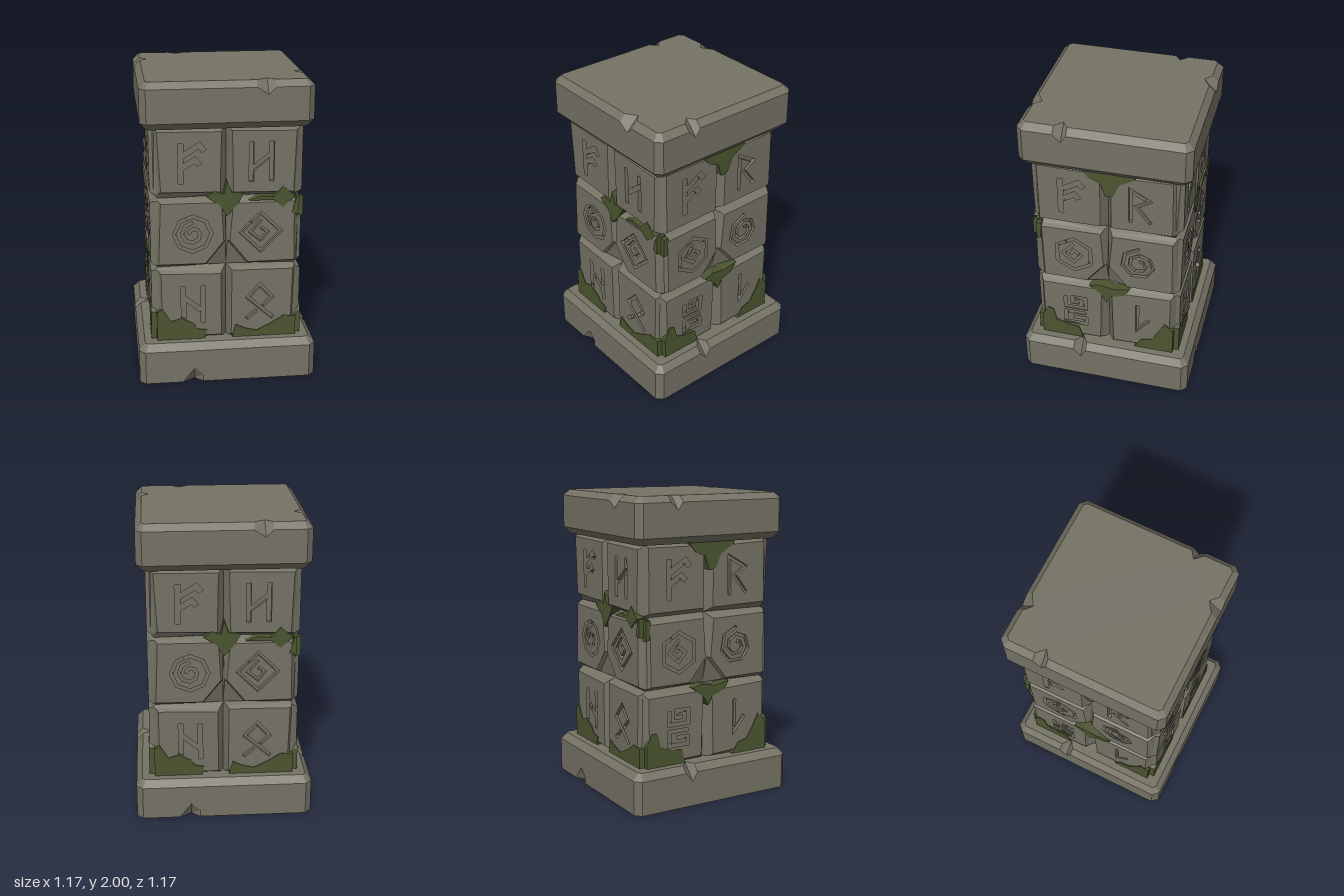
import * as THREE from 'three';
import { ConvexGeometry } from 'three/addons/geometries/ConvexGeometry.js';

const V2 = (x, y) => new THREE.Vector2(x, y);
const toV2 = (list) => list.map(([x, y]) => V2(x, y));

// Outline of a chiselled stroke following an open line, with mitred corners
function stroke(list, w = 0.024) {
  const p = list.map((q) => (q.isVector2 ? q : V2(...q)));
  const left = [], right = [];
  p.forEach((q, i) => {
    const a = p[Math.max(i - 1, 0)], b = p[Math.min(i + 1, p.length - 1)];
    const d1 = i ? q.clone().sub(a).normalize() : b.clone().sub(q).normalize();
    const d2 = i < p.length - 1 ? b.clone().sub(q).normalize() : d1;
    const n = V2(-d1.y - d2.y, d1.x + d2.x).normalize();
    const k = (w / 2) / Math.max(0.4, n.dot(V2(-d1.y, d1.x)));
    left.push(q.clone().addScaledVector(n, k));
    right.unshift(q.clone().addScaledVector(n, -k));
  });
  return [...left, ...right];
}

const polar = (r, a) => V2(r * Math.cos(a), r * Math.sin(a));

// Many-sided ring, left open by a hair in the middle of one edge
function ring(n, r) {
  const v = Array.from({ length: n }, (_, i) => polar(r, Math.PI / 2 + (i / n) * 2 * Math.PI));
  return stroke([v[0].clone().lerp(v[1], 0.5), ...v.slice(1), v[0], v[0].clone().lerp(v[1], 0.47)], 0.02);
}

function spiral(n, r, step, turns) {
  const count = Math.round(n * turns);
  return stroke(Array.from({ length: count + 1 }, (_, i) =>
    polar(r - (step * i) / n, Math.PI / 2 + (i / n) * 2 * Math.PI)), 0.02);
}

// Two posts joined by a slanted bar
const posts = (a) => toV2([[-0.08, 0.13], [-0.05, 0.13], [-0.05, 0.02 - a], [0.05, a + 0.02], [0.05, 0.13],
  [0.08, 0.13], [0.08, -0.13], [0.05, -0.13], [0.05, a - 0.02], [-0.05, -a - 0.02], [-0.05, -0.13], [-0.08, -0.13]]);
const branches = toV2([[-0.09, 0.13], [-0.055, 0.13], [-0.055, 0.075], [0.05, 0.14], [0.09, 0.09], [0.06, 0.07],
  [0.042, 0.095], [-0.055, 0.035], [-0.055, 0], [0.02, 0.045], [0.06, 0], [0.03, -0.02], [0.015, 0],
  [-0.055, -0.04], [-0.055, -0.13], [-0.09, -0.13]]);

// Carvings by face type, then row from the bottom, then left and right block
const carvings = [
  [
    [[posts(-0.04)], [stroke([[0.09, -0.12], [-0.08, 0.03], [0, 0.12], [0.08, 0.03], [0.02, -0.03]]),
      stroke([[-0.02, -0.06], [-0.09, -0.12]])]],
    [[ring(8, 0.12), spiral(8, 0.08, 0.045, 1.25)], [ring(4, 0.13), spiral(4, 0.08, 0.05, 1)]],
    [[branches], [posts(0.04)]],
  ],
  [
    [[stroke([[-0.07, 0.11], [-0.07, 0.02], [0.07, 0.02], [0.07, 0.11], [-0.02, 0.11], [-0.02, 0.065], [0.025, 0.065]]),
      stroke([[0.07, -0.025], [-0.07, -0.025], [-0.07, -0.12], [0.07, -0.12], [0.07, -0.07], [-0.02, -0.07]])],
    [stroke([[-0.01, 0.13], [-0.01, -0.09], [0.07, 0.01]])]],
    [[ring(6, 0.13), spiral(4, 0.085, 0.05, 1.25)], [spiral(7, 0.13, 0.05, 2)]],
    [[branches], [stroke([[-0.06, -0.13], [-0.06, 0.12], [0.06, 0.05], [-0.02, 0], [0.07, -0.12]])]],
  ],
];

// Moss clumps by face type
const mossShapes = [
  [
    [[-0.46, 0.25], [-0.46, 0.47], [-0.42, 0.49], [-0.37, 0.4], [-0.3, 0.42], [-0.22, 0.38], [-0.19, 0.34], [-0.13, 0.33], [-0.15, 0.25]],
    [[0.03, 0.25], [0.06, 0.36], [0.12, 0.33], [0.2, 0.31], [0.3, 0.36], [0.38, 0.41], [0.46, 0.4], [0.46, 0.25]],
    [[-0.13, 1.25], [-0.08, 1.29], [-0.02, 1.27], [0, 1.36], [0.03, 1.28], [0.11, 1.27], [0.06, 1.19], [0, 1.12], [-0.05, 1.2]],
    [[0.14, 1.22], [0.22, 1.25], [0.3, 1.24], [0.36, 1.31], [0.44, 1.24], [0.36, 1.17], [0.3, 1.22]],
    [[0.42, 1.13], [0.45, 1.24], [0.465, 1.24], [0.465, 1.12]],
  ],
  [
    [[-0.46, 0.25], [-0.46, 0.42], [-0.42, 0.5], [-0.38, 0.49], [-0.36, 0.4], [-0.28, 0.37], [-0.2, 0.36], [-0.17, 0.25]],
    [[0.18, 0.25], [0.24, 0.34], [0.31, 0.36], [0.36, 0.44], [0.4, 0.52], [0.46, 0.46], [0.46, 0.25]],
    [[-0.17, 1.72], [-0.1, 1.64], [-0.03, 1.61], [0, 1.52], [0.05, 1.53], [0.09, 1.62], [0.19, 1.68], [0.18, 1.72]],
    [[-0.12, 0.76], [-0.05, 0.78], [0.05, 0.76], [0.16, 0.78], [0.12, 0.72], [0.03, 0.69], [0, 0.63], [-0.04, 0.7]],
    [[-0.465, 1.1], [-0.465, 1.23], [-0.43, 1.23], [-0.44, 1.11]],
  ],
];

const rowY = [0.26, 0.77, 1.24, 1.71];
const BACK = 0.465, DEPTH = 0.025;

// Repeatable pseudo-random number for chipping
const chip = (...k) => {
  const s = Math.sin(k.reduce((t, v, i) => t + v * (12.9 + 31.7 * i), 4.1)) * 43758.5;
  return s - Math.floor(s);
};

// Face outline of one block, relative to the block face centre
function faceOutline(type, row, side) {
  const h = (rowY[row + 1] - rowY[row]) / 2;
  const pts = [[-0.19, -h + 0.03], [0.222, -h + 0.03], [0.222, h - 0.025], [-0.19, h - 0.025]].map(([u, v], i) =>
    [u * (1 - 0.1 * chip(type, row, side, i)), v * (1 - 0.1 * chip(i, side, row, type))]);
  if (row === 1) pts.splice(0, 1, [-0.2, -h + 0.18], [-0.08, -h + 0.03]);
  return pts.map(([u, v]) => V2(u * side, v));
}

// Carved front slab whose outer rim slopes out towards the back
function carvedFace(outline, holes) {
  const shape = new THREE.Shape(outline);
  shape.holes = holes.map((h) => new THREE.Path(h));
  const g = new THREE.ExtrudeGeometry(shape, { depth: DEPTH, bevelEnabled: false });
  const p = g.attributes.position;
  for (let i = 0; i < p.count; i++) {
    const x = p.getX(i), y = p.getY(i);
    if (p.getZ(i) < 0.001 && Math.max(Math.abs(x), Math.abs(y)) > 0.15) p.setXY(i, x * 1.07, y * 1.07);
  }
  g.computeVertexNormals();
  return g;
}

// Square slab from rings [y, inset]; each side has one chip {u, w, d, low}
function slabGeometry(half, rings, chips) {
  const loops = rings.map(([y, inset], r) => {
    const loop = [];
    for (let k = 0; k < 4; k++) {
      const { u, w, d, low } = chips[k % 2];
      const edge = low ? 0 : rings.length - 1, next = low ? 1 : rings.length - 2;
      const e = half - 0.04 - inset * 0.5;
      [[-e, 0], [u - w, 0], [u, 1], [u + w * 0.7, 0], [e, 0]].forEach(([x, n]) => {
        const z = half - inset - (n && r === edge ? d : 0);
        const yy = y + (n && r === next ? (low ? d : -d) : 0);
        loop.push(new THREE.Vector3(x, yy, z).applyAxisAngle(new THREE.Vector3(0, 1, 0), (k * Math.PI) / 2));
      });
    }
    return loop;
  });
  const pos = [], tri = (...v) => v.forEach((q) => pos.push(q.x, q.y, q.z));
  const n = loops[0].length;
  for (let r = 0; r < loops.length - 1; r++) {
    for (let i = 0; i < n; i++) {
      const j = (i + 1) % n, a = loops[r], b = loops[r + 1];
      tri(a[i], a[j], b[j]);
      tri(a[i], b[j], b[i]);
    }
  }
  const top = loops[loops.length - 1], bottom = loops[0];
  const flat = (l) => THREE.ShapeUtils.triangulateShape(l.map((q) => V2(q.x, -q.z)), []);
  flat(top).forEach(([a, b, c]) => tri(top[a], top[b], top[c]));
  flat(bottom).forEach(([a, b, c]) => tri(bottom[a], bottom[c], bottom[b]));
  const g = new THREE.BufferGeometry();
  g.setAttribute('position', new THREE.Float32BufferAttribute(pos, 3));
  g.computeVertexNormals();
  return g;
}

export function createModel() {
  const model = new THREE.Group();
  model.name = 'stonePillar';
  const stone = new THREE.MeshStandardMaterial({ color: 0x757265 });
  stone.name = 'stone';
  const moss = new THREE.MeshStandardMaterial({ color: 0x4b5530 });
  moss.name = 'moss';
  const add = (parent, name, geo, mat) => {
    const m = new THREE.Mesh(geo, mat);
    m.name = name;
    parent.add(m);
    return m;
  };

  // Base and cap slabs
  add(model, 'base', slabGeometry(0.583, [[0, 0], [0.05, 0], [0.225, 0], [0.27, 0.04]],
    [{ u: -0.22, w: 0.08, d: 0.05, low: true }, { u: -0.17, w: 0.05, d: 0.06 }]), stone);
  add(model, 'cap', slabGeometry(0.545, [[1.7, 0.04], [1.745, 0], [1.96, 0], [2, 0.04]],
    [{ u: 0.25, w: 0.07, d: 0.045 }, { u: -0.26, w: 0.05, d: 0.05 }]), stone);

  // Four sides of the shaft; opposite sides match
  for (let k = 0; k < 4; k++) {
    const type = k % 2;
    const side = new THREE.Group();
    side.name = 'shaftSide' + (k + 1);
    side.rotation.y = (k * Math.PI) / 2;
    model.add(side);

    for (let row = 0; row < 3; row++) {
      const y0 = rowY[row], y1 = rowY[row + 1], ym = (y0 + y1) / 2;
      // Carved faces
      [-1, 1].forEach((s, i) => {
        const face = add(side, 'carvedFace', carvedFace(faceOutline(type, row, s), carvings[type][row][i]), stone);
        face.position.set(0.22 * s, ym, BACK);
      });
      // Corner block behind this side's right face and the next side's left face
      const pts = [];
      faceOutline(type, row, 1).forEach((q) =>
        pts.push(new THREE.Vector3(0.22 + q.x * 1.07, ym + q.y * 1.07, BACK)));
      faceOutline(1 - type, row, -1).forEach((q) =>
        pts.push(new THREE.Vector3(BACK, ym + q.y * 1.07, 0.22 - q.x * 1.07)));
      [y0, y1].forEach((y) => [[0, 0], [0, 0.42], [0.42, 0], [0.442, 0.442]].forEach(([x, z]) =>
        pts.push(new THREE.Vector3(x, y, z))));
      add(side, 'cornerBlock', new ConvexGeometry(pts), stone);
    }

    // Moss filling the seams and lower corners
    mossShapes[type].forEach((list) => {
      const g = new THREE.ExtrudeGeometry(new THREE.Shape(toV2(list)), { depth: 0.065, bevelEnabled: false });
      add(side, 'mossClump', g, moss).position.z = 0.431;
    });
  }
  return model;
}
